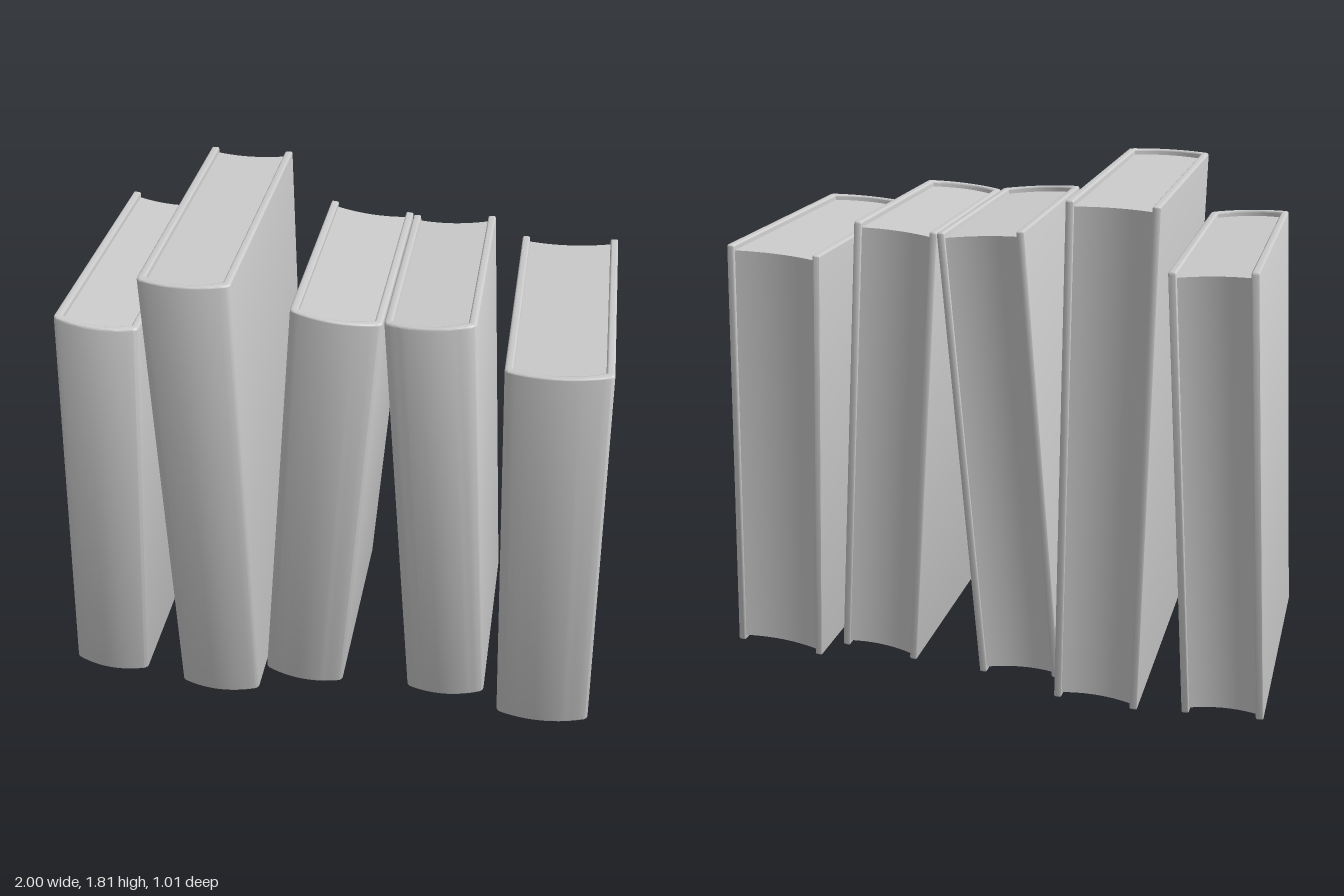
import * as THREE from 'three';
import { toCreasedNormals } from 'three/addons/utils/BufferGeometryUtils.js';

const material = new THREE.MeshStandardMaterial({ color: 0xcccccc });
const BOARD = 0.027;   // cover thickness
const SPINE = 0.036;   // bulge of the rounded spine
const RECESS = 0.02;   // pages sit below the cover edge
const BEVEL = 0.007;

// Extrude a plan outline (x, -z) upwards from y0 to y1
function extrudeUp(shape, y0, y1, bevel, name) {
  const geo = new THREE.ExtrudeGeometry(shape, {
    depth: y1 - y0 - 2 * bevel,
    bevelEnabled: bevel > 0,
    bevelThickness: bevel,
    bevelSize: bevel,
    bevelOffset: -bevel,
    bevelSegments: 3,
    curveSegments: 14,
  });
  geo.rotateX(-Math.PI / 2);
  geo.translate(0, y0 + bevel, 0);
  const mesh = new THREE.Mesh(toCreasedNormals(geo, 0.65), material);
  mesh.name = name;
  return mesh;
}

function makeBook({ name, x, y, tilt, width, height, back, front }) {
  const book = new THREE.Group();
  book.name = name;
  const w = width / 2, wi = w - BOARD;
  const b = -back, f = -front;            // plan coordinates: -z
  const r = 0.014, tip = 0.006;           // softened corners
  const shoulder = f + SPINE;
  const innerShoulder = shoulder + BOARD * 0.7;
  const innerCtrl = innerShoulder - 1.7 * SPINE;

  // Cover: two boards joined by a rounded spine
  const cover = new THREE.Shape();
  cover.moveTo(-w, b - tip);
  cover.lineTo(-w, shoulder + r);
  cover.quadraticCurveTo(-w, shoulder, -w + r, shoulder - r * 0.5);
  cover.quadraticCurveTo(0, f - SPINE + r, w - r, shoulder - r * 0.5);
  cover.quadraticCurveTo(w, shoulder, w, shoulder + r);
  cover.lineTo(w, b - tip);
  cover.quadraticCurveTo(w, b, w - tip, b);
  cover.lineTo(wi + tip, b);
  cover.quadraticCurveTo(wi, b, wi, b - tip);
  cover.lineTo(wi, innerShoulder);
  cover.quadraticCurveTo(0, innerCtrl, -wi, innerShoulder);
  cover.lineTo(-wi, b - tip);
  cover.quadraticCurveTo(-wi, b, -wi - tip, b);
  cover.lineTo(-w + tip, b);
  cover.quadraticCurveTo(-w, b, -w, b - tip);
  book.add(extrudeUp(cover, 0, height, BEVEL, 'cover'));

  // Page block: hollow fore edge, rounded towards the spine
  const e = 0.004;                        // tucked slightly into the boards
  const pages = new THREE.Shape();
  pages.moveTo(-wi - e, b - 0.006);
  pages.lineTo(-wi - e, innerShoulder - e);
  pages.quadraticCurveTo(0, innerCtrl - e, wi + e, innerShoulder - e);
  pages.lineTo(wi + e, b - 0.006);
  pages.quadraticCurveTo(0, b - 0.046, -wi - e, b - 0.006);
  book.add(extrudeUp(pages, RECESS, height - RECESS, 0, 'pages'));

  book.position.set(x, y, 0);
  book.rotation.z = tilt;
  return book;
}

export function createModel() {
  const model = new THREE.Group();
  model.name = 'rowOfBooks';
  const books = [
    { x: -0.857, y: 0.017, tilt: -0.068, width: 0.286, height: 1.59, back: -0.48, front: 0.47 },
    { x: -0.41, y: 0.01, tilt: 0.0125, width: 0.302, height: 1.797, back: -0.51, front: 0.505 },
    { x: -0.1, y: 0.015, tilt: -0.08, width: 0.302, height: 1.655, back: -0.408, front: 0.402 },
    { x: 0.452, y: 0.015, tilt: 0.073, width: 0.296, height: 1.65, back: -0.397, front: 0.387 },
    { x: 0.828, y: 0.017, tilt: 0.05, width: 0.343, height: 1.555, back: -0.47, front: 0.462 },
  ];
  books.forEach((spec, i) => model.add(makeBook({ name: `book${i + 1}`, ...spec })));
  return model;
}
